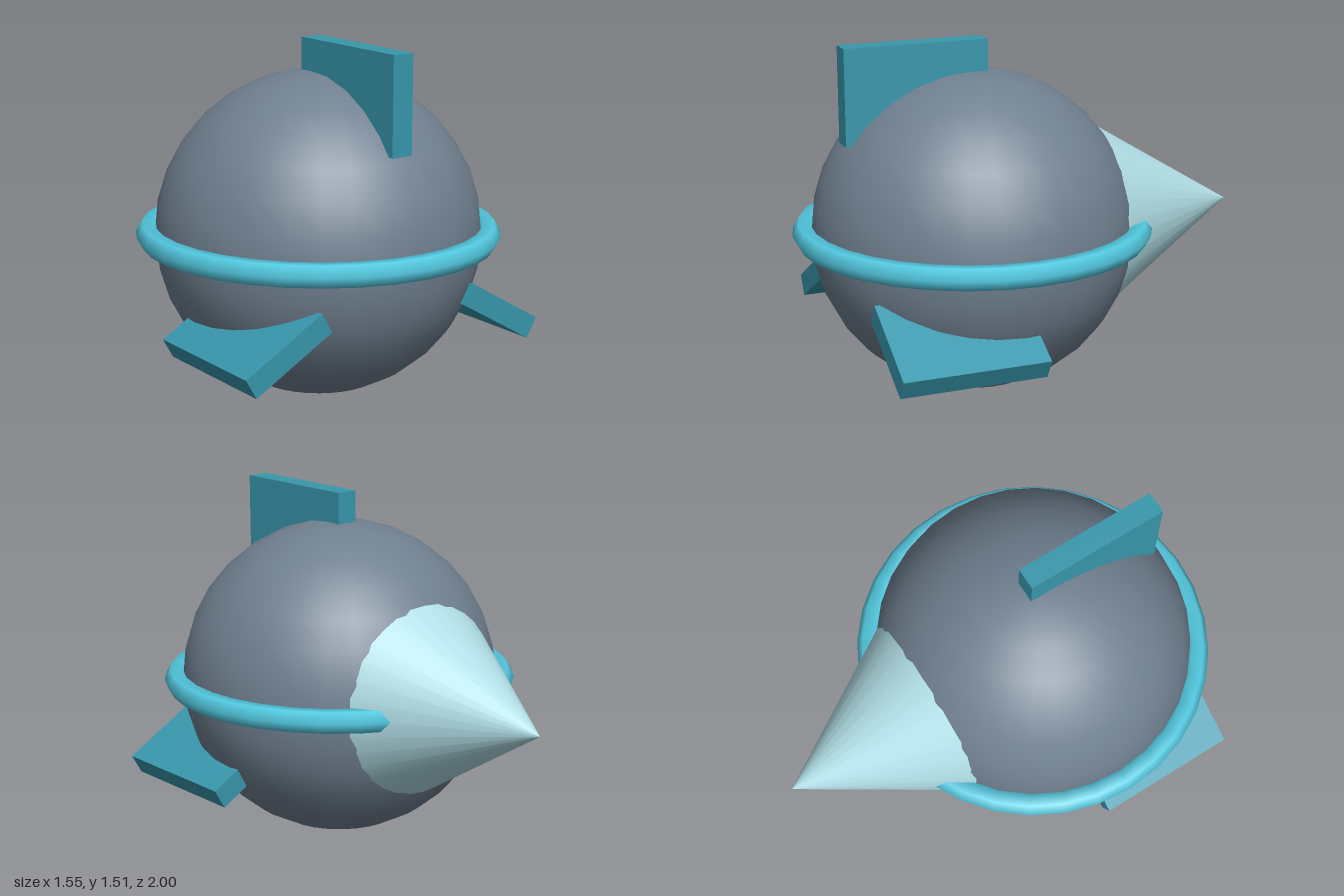
import * as THREE from 'three';

function flat(name, color) {
  const m = new THREE.MeshStandardMaterial({ color });
  m.name = name;
  return m;
}

export function createModel() {
  const slate = flat('slate grey', 0x708090);
  const cyan = flat('bright cyan', 0x52c8df);
  const pale = flat('pale blue', 0xb0dde5);
  const teal = flat('teal', 0x3897ac);

  const model = new THREE.Group();
  model.name = 'spherePod';

  // All parts share the centre of the ball; local z runs front to back
  const pod = new THREE.Group();
  pod.name = 'pod';
  pod.position.set(0, 0.697, 0.227);
  model.add(pod);

  const add = (name, geometry, material, parent = pod) => {
    const mesh = new THREE.Mesh(geometry, material);
    mesh.name = name;
    parent.add(mesh);
    return mesh;
  };

  // Round hull
  add('hull', new THREE.SphereGeometry(0.692, 32, 16), slate);

  // Pointed cone at the back, its base sunk into the hull
  const tip = -1.227, base = -0.477;
  const cone = new THREE.ConeGeometry(0.457, base - tip, 32);
  cone.rotateX(-Math.PI / 2);
  add('tailCone', cone, pale).position.z = (tip + base) / 2;

  // Six-sided ring around the equator
  const ring = new THREE.TorusGeometry(0.721, 0.052, 6, 32);
  ring.rotateX(Math.PI / 2);
  add('equatorRing', ring, cyan);

  // Three fins, evenly spaced about the z axis
  ['topFin', 'rightFin', 'leftFin'].forEach((name, i) => {
    const arm = new THREE.Group();
    arm.name = name;
    arm.rotation.z = (i * Math.PI * 2) / 3;
    pod.add(arm);
    add(name + 'Plate', new THREE.BoxGeometry(0.096, 0.41, 0.627), teal, arm).position.set(0, 0.618, 0.257);
  });

  return model;
}
